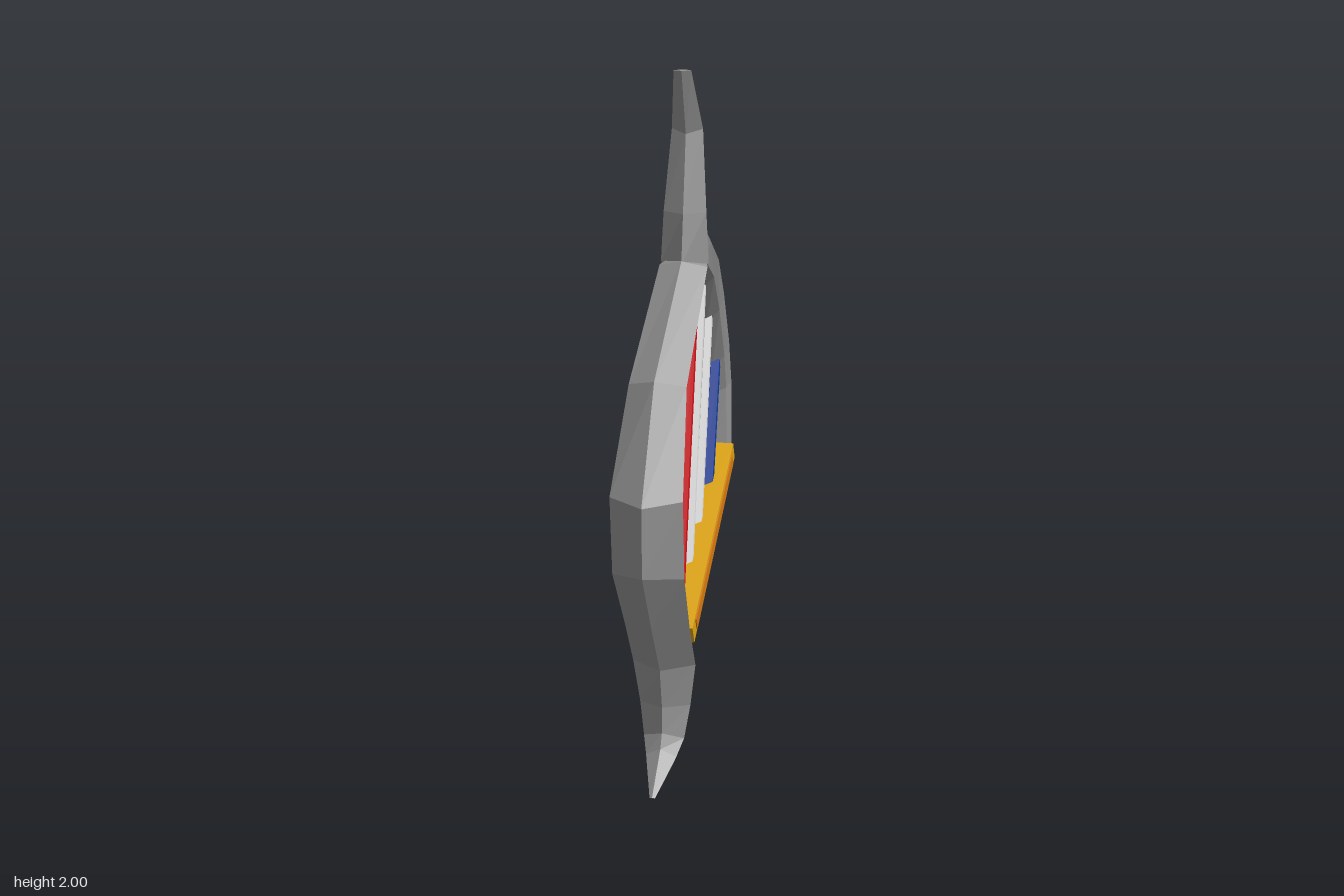
import * as THREE from 'three';

const paint = (name, color, extra = {}) =>
  Object.assign(new THREE.MeshStandardMaterial({ color, flatShading: true, ...extra }), { name });

const ANGLE = 0.32;               // the harp stands turned about the vertical
const K = 1 / Math.cos(ANGLE);    // depth correction for the turned plane

// Loft a six-sided ridged section; station = [outerZ, outerY, innerZ, innerY, halfWidth]
function ridgedLoft(stations) {
  const section = [[0, 0], [1, 0.32], [0.75, 0.68], [0, 1], [-0.75, 0.68], [-1, 0.32]];
  const n = section.length, pos = [], idx = [];
  for (const [oz, oy, iz, iy, w] of stations)
    for (const [side, t] of section)
      pos.push(side * w, oy + (iy - oy) * t, (oz + (iz - oz) * t) * K);
  const last = (stations.length - 1) * n;
  for (let k = 0; k < last; k += n)
    for (let j = 0; j < n; j++) {
      const a = k + j, b = k + (j + 1) % n;
      idx.push(a, b, b + n, a, b + n, a + n);
    }
  for (let j = 1; j < n - 1; j++) {
    idx.push(0, j + 1, j);
    idx.push(last, last + j, last + j + 1);
  }
  const g = new THREE.BufferGeometry();
  g.setAttribute('position', new THREE.Float32BufferAttribute(pos, 3));
  g.setIndex(idx);
  const flat = g.toNonIndexed();
  flat.computeVertexNormals();
  return flat;
}

export function createModel() {
  const model = new THREE.Group();
  const harp = new THREE.Group();
  harp.name = 'harp';
  harp.rotation.y = ANGLE;
  harp.position.x = -0.045;
  model.add(harp);

  const stone = paint('frameGrey', 0x959595);
  const yellow = paint('soundboardYellow', 0xdca210);
  const orange = paint('inlayOrange', 0xd87a10);
  const red = paint('stringRed', 0xd41018);
  const white = paint('stringWhite', 0xe4e4e4);
  const blue = paint('stringBlue', 0x123c9c);

  const add = (name, geometry, material, parent = harp) => {
    const mesh = new THREE.Mesh(geometry, material);
    mesh.name = name;
    parent.add(mesh);
    return mesh;
  };

  // Curved front pillar, from the pointed foot up to the apex
  add('pillar', ridgedLoft([
    [0.51, 0.008, 0.50, 0.0, 0.008],
    [0.40, 0.10, 0.37, 0.02, 0.045],
    [0.38, 0.14, 0.29, 0.06, 0.06],
    [0.375, 0.22, 0.24, 0.20, 0.075],
    [0.40, 0.35, 0.22, 0.345, 0.092],
    [0.50, 0.53, 0.27, 0.44, 0.093],
    [0.60, 0.72, 0.38, 0.65, 0.1],
    [0.60, 0.92, 0.43, 0.94, 0.1],
    [0.44, 1.22, 0.31, 1.15, 0.08],
    [0.09, 1.47, 0.0, 1.41, 0.07],
    [0.02, 1.50, -0.03, 1.40, 0.055],
  ]), stone);

  // Horn rising above the apex
  add('finial', ridgedLoft([
    [0.09, 1.46, -0.06, 1.45, 0.07],
    [0.065, 1.60, -0.02, 1.61, 0.062],
    [0.025, 1.82, -0.05, 1.86, 0.045],
    [0.08, 2.0, 0.04, 2.0, 0.025],
  ]), stone);

  // Neck arching backwards down to the rear spur
  add('neck', ridgedLoft([
    [-0.02, 1.61, 0.04, 1.42, 0.05],
    [-0.05, 1.55, -0.03, 1.40, 0.06],
    [-0.16, 1.47, -0.175, 1.32, 0.06],
    [-0.28, 1.34, -0.28, 1.19, 0.055],
    [-0.40, 1.15, -0.37, 1.02, 0.052],
    [-0.47, 0.97, -0.40, 0.93, 0.05],
    [-0.50, 0.65, -0.42, 0.70, 0.047],
    [-0.53, 0.615, -0.43, 0.59, 0.04],
    [-0.60, 0.545, -0.59, 0.535, 0.01],
  ]), stone);

  // Place a part at a midpoint, with its local y axis along the line a -> b
  const span = (part, [az, ay], [bz, by]) => {
    const a = new THREE.Vector3(0, ay, az * K), b = new THREE.Vector3(0, by, bz * K);
    part.position.copy(a).add(b).multiplyScalar(0.5);
    part.rotation.x = Math.atan2(b.z - a.z, b.y - a.y);
    return part;
  };

  // Sloping soundboard with orange side inlays
  const board = span(new THREE.Group(), [0.235, 0.385], [-0.425, 0.73]);
  board.name = 'soundboard';
  harp.add(board);
  add('soundboardBody', new THREE.BoxGeometry(0.128, 0.775, 0.064), yellow, board);
  for (const s of [-1, 1])
    add('soundboardInlay', new THREE.BoxGeometry(0.004, 0.69, 0.044), orange, board)
      .position.x = s * 0.065;

  // Strings, from soundboard to neck
  const strings = [
    ['redString', red, [0.2, 0.42], [-0.045, 1.42], 0.024],
    ['whiteString', white, [0.025, 0.51], [-0.175, 1.35], 0.018],
    ['whiteString', white, [-0.115, 0.58], [-0.285, 1.24], 0.018],
    ['blueString', blue, [-0.265, 0.66], [-0.38, 1.05], 0.024],
  ];
  for (const [name, material, a, b, r] of strings) {
    const length = Math.hypot((b[0] - a[0]) * K, b[1] - a[1]);
    const g = new THREE.CylinderGeometry(r, r, length, 6).scale(1.2, 1, 1);
    span(add(name, g, material), a, b);
  }
  return model;
}
